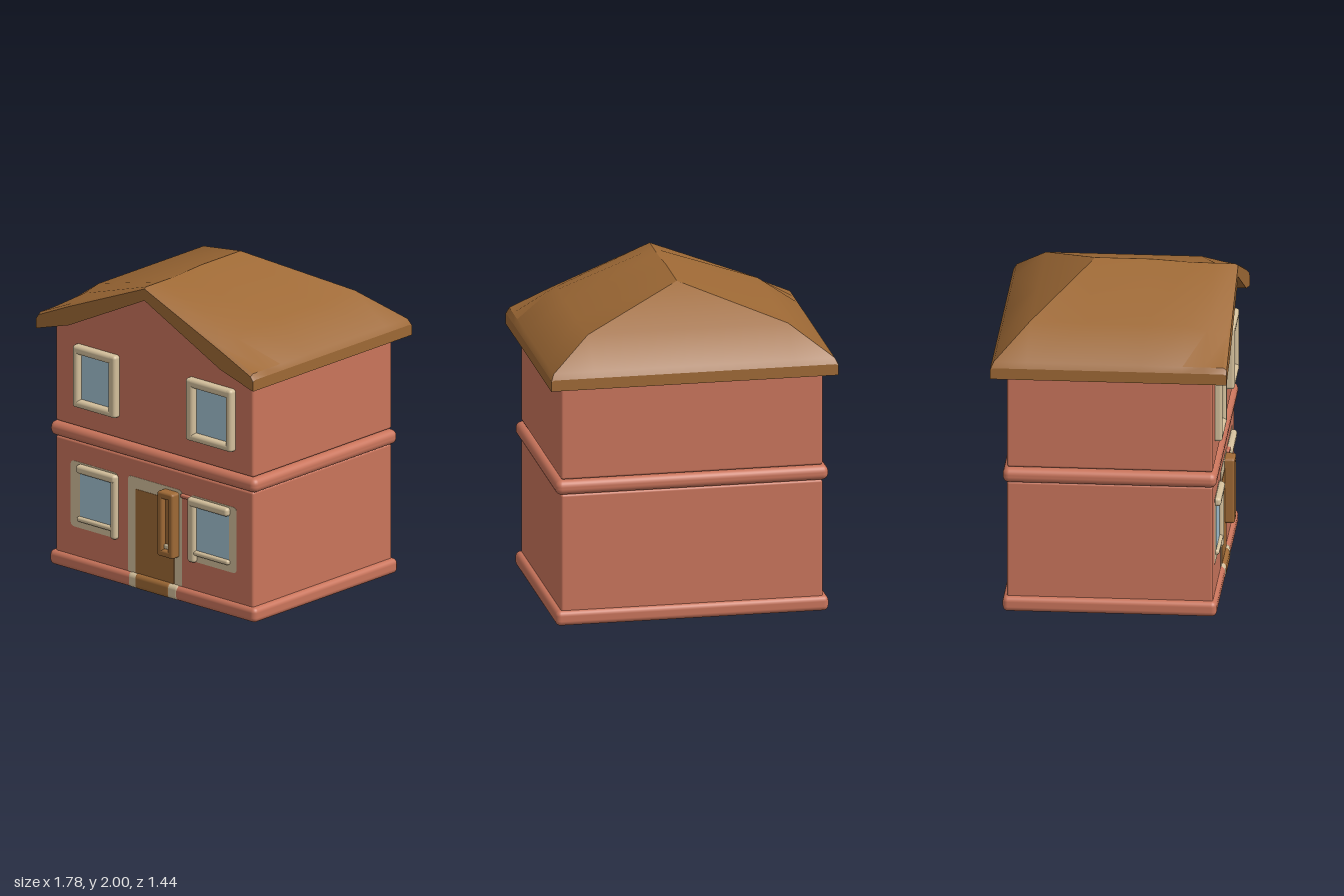
import * as THREE from 'three';
import { toCreasedNormals } from 'three/addons/utils/BufferGeometryUtils.js';
import { RoundedBoxGeometry } from 'three/addons/geometries/RoundedBoxGeometry.js';

const material = (name, color) => Object.assign(new THREE.MeshStandardMaterial({ color }), { name });

// Roof height field: columns from ridge to eave, rows from back to front
const COLS = [0, 0.62, 0.87, 0.89];
const HIGH = [1.985, 1.8, 1.625, 1.59];
const FLAT = [1.52, 1.52, 1.52, 1.52];
const GABLE = [1.9, 1.6, 1.525, 1.52];
const ROWS = [
  { z: -0.72, top: [1.59, 1.59, 1.59, 1.58], under: FLAT },
  { z: -0.70, top: [1.625, 1.625, 1.625, 1.59], under: FLAT },
  { z: -0.50, top: [1.8, 1.8, 1.625, 1.59], under: FLAT },
  { z: -0.15, top: [2, 1.8, 1.625, 1.59], under: FLAT },
  { z: 0.20, top: [2, 1.8, 1.625, 1.59], under: FLAT },
  { z: 0.45, top: HIGH, under: FLAT },
  { z: 0.58, top: [1.985, 1.77, 1.625, 1.59], under: GABLE },
  { z: 0.70, top: [1.985, 1.735, 1.625, 1.59], under: GABLE },
  { z: 0.72, top: [1.975, 1.72, 1.61, 1.58], under: GABLE },
];

function roofGeometry() {
  const out = [];
  const quad = (a, b, c, d) => out.push(...a, ...b, ...c, ...a, ...c, ...d);
  const n = COLS.length - 1;
  const point = (side, i, r) => [Math.sign(i) * COLS[Math.abs(i)], ROWS[r][side][Math.abs(i)], ROWS[r].z];
  const top = (i, r) => point('top', i, r);
  const under = (i, r) => point('under', i, r);
  const last = ROWS.length - 1;

  for (let r = 0; r < last; r++) {
    for (let i = -n; i < n; i++) {
      // The diagonals follow the hips
      const corners = (f) => [f(i, r), f(i, r + 1), f(i + 1, r + 1), f(i + 1, r)];
      const [a, b, c, d] = corners(top);
      if (i >= 0) quad(b, c, d, a);
      else quad(a, b, c, d);
      quad(...corners(under).reverse());
    }
    // Side eaves
    quad(under(n, r + 1), under(n, r), top(n, r), top(n, r + 1));
    quad(under(-n, r), under(-n, r + 1), top(-n, r + 1), top(-n, r));
  }
  // Front verge and back eave
  for (let i = -n; i < n; i++) {
    quad(under(i, last), under(i + 1, last), top(i + 1, last), top(i, last));
    quad(under(i + 1, 0), under(i, 0), top(i, 0), top(i + 1, 0));
  }
  const geometry = new THREE.BufferGeometry();
  geometry.setAttribute('position', new THREE.Float32BufferAttribute(out, 3));
  return toCreasedNormals(geometry, 0.5);
}

// Flat rectangle with rounded corners
function plateGeometry(x0, x1, y0, y1, r) {
  const s = new THREE.Shape();
  s.moveTo(x0 + r, y0);
  s.lineTo(x1 - r, y0).quadraticCurveTo(x1, y0, x1, y0 + r);
  s.lineTo(x1, y1 - r).quadraticCurveTo(x1, y1, x1 - r, y1);
  s.lineTo(x0 + r, y1).quadraticCurveTo(x0, y1, x0, y1 - r);
  s.lineTo(x0, y0 + r).quadraticCurveTo(x0, y0, x0 + r, y0);
  return new THREE.ExtrudeGeometry(s, { depth: 0.004, bevelEnabled: false, curveSegments: 4 });
}

export function createModel() {
  const house = new THREE.Group();
  house.name = 'house';
  const wall = material('terracotta wall', 0xc9745b);
  const brown = material('brown wood', 0x9e6935);
  const cream = material('cream trim', 0xd3bf9b);
  const blue = material('blue glass', 0xa3c2d2);

  const add = (name, geometry, mat, parent = house) => {
    const mesh = new THREE.Mesh(geometry, mat);
    mesh.name = name;
    parent.add(mesh);
    return mesh;
  };
  // Rounded box given by its limits
  const block = (name, mat, [x0, x1], [y0, y1], [z0, z1], r, parent) => {
    const mesh = add(name, new RoundedBoxGeometry(x1 - x0, y1 - y0, z1 - z0, 3, r), mat, parent);
    mesh.position.set((x0 + x1) / 2, (y0 + y1) / 2, (z0 + z1) / 2);
  };
  // Thin painted plate on the front wall
  const plate = (name, mat, [x0, x1], [y0, y1], z, r, parent) => {
    add(name, plateGeometry(x0, x1, y0, y1, r), mat, parent).position.z = z;
  };

  // Walls and string courses
  block('lowerStorey', wall, [-0.81, 0.81], [0.05, 0.83], [-0.625, 0.63], 0.015);
  block('upperStorey', wall, [-0.81, 0.81], [0.925, 1.58], [-0.625, 0.63], 0.015);
  block('plinth', wall, [-0.845, 0.845], [0, 0.095], [-0.65, 0.655], 0.032);
  block('middleBand', wall, [-0.845, 0.845], [0.83, 0.922], [-0.65, 0.655], 0.04);

  // Front gable
  const gable = new THREE.Shape();
  gable.moveTo(-0.78, 1.4).lineTo(0.78, 1.4).lineTo(0.78, 1.58).lineTo(0, 1.94).lineTo(-0.78, 1.58);
  add('gable', new THREE.ExtrudeGeometry(gable, { depth: 0.2, bevelEnabled: false }), wall).position.z = 0.43;

  add('roof', roofGeometry(), brown);

  // Upper windows with raised frames: outer limits, then glass limits
  for (const [name, [x0, x1], glass] of [
    ['upperRightWindow', [-0.637, -0.285], [-0.6, -0.335]],
    ['upperLeftWindow', [0.288, 0.665], [0.34, 0.625]],
  ]) {
    const win = new THREE.Group();
    win.name = name;
    house.add(win);
    const z = [0.61, 0.675];
    plate('glass', blue, glass, [1.1, 1.41], 0.632, 0.005, win);
    block('frameSide', cream, [x0, glass[0] + 0.01], [1.06, 1.46], z, 0.02, win);
    block('frameSide', cream, [glass[1] - 0.01, x1], [1.06, 1.46], z, 0.02, win);
    block('frameTop', cream, [x0, x1], [1.402, 1.46], z, 0.022, win);
    block('frameSill', cream, [x0, x1], [1.06, 1.11], z, 0.022, win);
  }

  // Lower windows: flat surround, raised bars on the side near the door
  for (const [name, outer, glass, post, bar] of [
    ['lowerRightWindow', [-0.685, -0.3], [-0.605, -0.345], [-0.345, -0.295], [-0.62, -0.3]],
    ['lowerLeftWindow', [0.295, 0.675], [0.35, 0.615], [0.288, 0.35], [0.295, 0.622]],
  ]) {
    const win = new THREE.Group();
    win.name = name;
    house.add(win);
    plate('surround', cream, outer, [0.278, 0.7], 0.628, 0.03, win);
    plate('glass', blue, glass, [0.345, 0.64], 0.631, 0.005, win);
    block('frameSide', cream, post, [0.275, 0.69], [0.61, 0.66], 0.02, win);
    block('frameTop', cream, bar, [0.635, 0.69], [0.61, 0.665], 0.02, win);
    block('frameSill', cream, bar, [0.323, 0.355], [0.61, 0.655], 0.014, win);
  }

  // Doorway, painted down across the plinth
  const doorway = new THREE.Group();
  doorway.name = 'doorway';
  house.add(doorway);
  plate('doorSurround', cream, [-0.215, 0.228], [0.08, 0.71], 0.628, 0.03, doorway);
  plate('door', brown, [-0.15, 0.165], [0.08, 0.635], 0.631, 0.005, doorway);
  block('surroundFoot', cream, [-0.205, 0.22], [0, 0.097], [0.58, 0.657], 0.03, doorway);
  block('doorFoot', brown, [-0.15, 0.155], [0, 0.099], [0.58, 0.659], 0.03, doorway);

  // Raised door panel with a sunken middle
  const z = [0.61, 0.693];
  block('panelSide', brown, [0.075, 0.118], [0.275, 0.69], z, 0.015, doorway);
  block('panelSide', brown, [0.162, 0.205], [0.275, 0.69], z, 0.015, doorway);
  block('panelTop', brown, [0.08, 0.2], [0.645, 0.692], z, 0.015, doorway);
  block('panelBottom', brown, [0.08, 0.2], [0.275, 0.32], z, 0.015, doorway);
  block('panelMiddle', brown, [0.1, 0.18], [0.29, 0.68], [0.61, 0.66], 0.01, doorway);
  block('doorKnob', cream, [0.115, 0.15], [0.322, 0.352], [0.64, 0.675], 0.008, doorway);
  block('lintelLug', wall, [0.225, 0.3], [0.668, 0.692], [0.61, 0.65], 0.008, doorway);

  return house;
}
